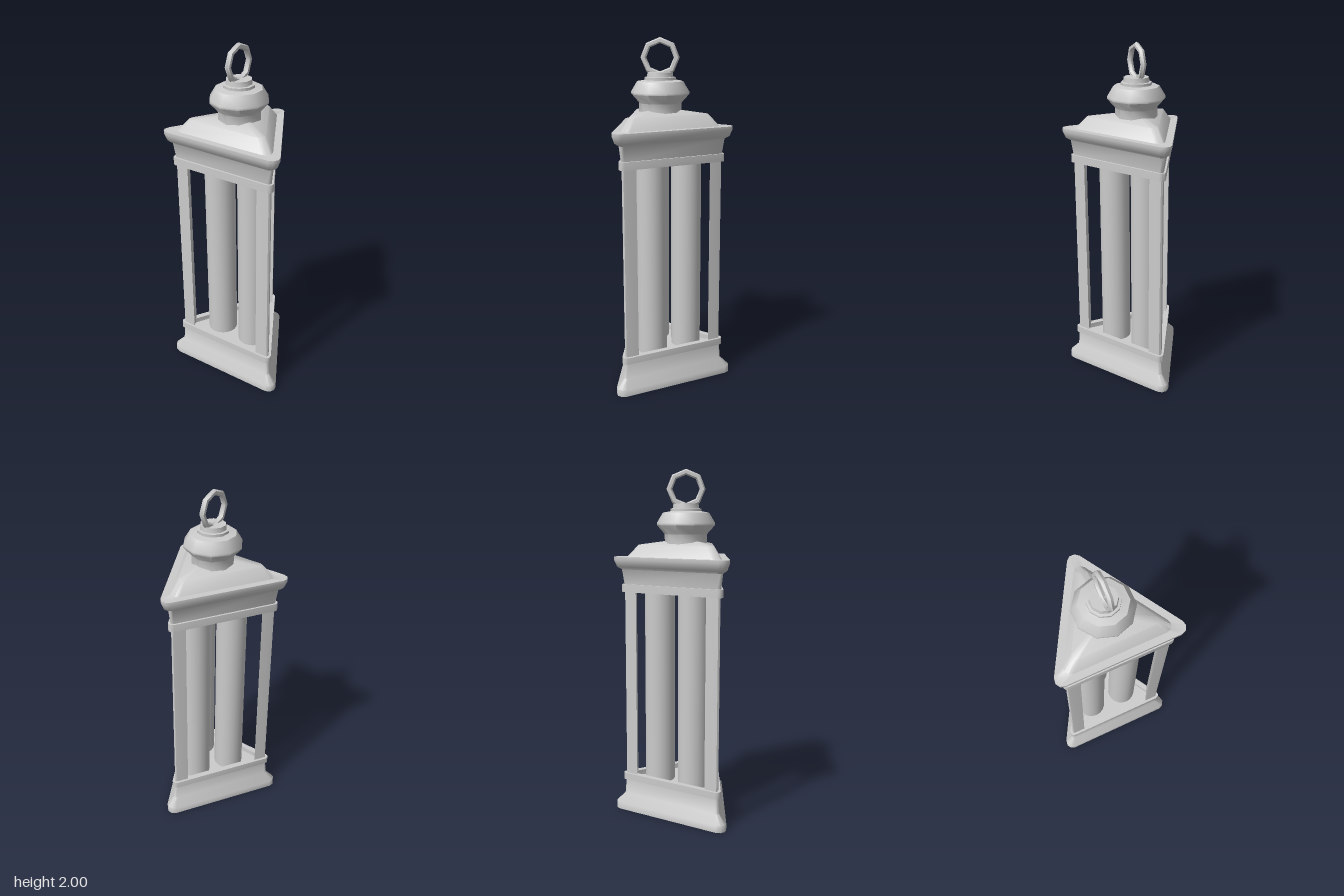
import * as THREE from 'three';
import { toCreasedNormals } from 'three/addons/utils/BufferGeometryUtils.js';

const CREASE = 0.87;
const material = new THREE.MeshStandardMaterial({ color: 0xcccccc });

function add(parent, name, geometry, x = 0, y = 0, z = 0) {
  const mesh = new THREE.Mesh(geometry, material);
  mesh.name = name;
  mesh.position.set(x, y, z);
  parent.add(mesh);
  return mesh;
}

// Rounded equilateral triangle: inradius r, corner radius c, four points per corner
function triangleRing(y, r, c) {
  const points = [];
  for (let k = 0; k < 3; k++) {
    const corner = (k * 2 * Math.PI) / 3;
    const d = 2 * (r - c);
    for (let s = 0; s < 4; s++) {
      const a = corner + ((s * 40 - 60) * Math.PI) / 180;
      points.push([
        d * Math.cos(corner) + c * Math.cos(a), y,
        -d * Math.sin(corner) - c * Math.sin(a),
      ]);
    }
  }
  return points;
}

// Skin between stacked triangular rings [y, inradius, corner radius]; inradius 0 closes an end
function triangularLoft(profile) {
  const rings = profile.map(([y, r, c]) => triangleRing(y, r, r ? c : 0));
  const pos = [];
  for (let k = 0; k < rings.length - 1; k++) {
    const a = rings[k], b = rings[k + 1];
    for (let i = 0; i < 12; i++) {
      const j = (i + 1) % 12;
      if (profile[k][1] > 0) pos.push(...a[i], ...a[j], ...b[j]);
      if (profile[k + 1][1] > 0) pos.push(...a[i], ...b[j], ...b[i]);
    }
  }
  const g = new THREE.BufferGeometry();
  g.setAttribute('position', new THREE.Float32BufferAttribute(pos, 3));
  return toCreasedNormals(g, CREASE);
}

export function createModel() {
  const model = new THREE.Group();
  model.name = 'triangularLantern';

  // Triangular body, one corner pointing to +x
  const body = new THREE.Group();
  body.name = 'body';
  body.position.set(-0.09, 0, -0.002);
  body.rotation.y = 0.02;
  model.add(body);

  // Stepped base with a sunken floor
  add(body, 'base', triangularLoft([
    [0, 0, 0], [0, 0.23, 0.042], [0.04, 0.23, 0.042], [0.09, 0.192, 0.018],
    [0.18, 0.187, 0.016], [0.18, 0.198, 0.024], [0.22, 0.198, 0.024],
    [0.22, 0.165, 0.015], [0.19, 0.165, 0.015], [0.19, 0, 0],
  ]));

  // Cornice and sloped roof with a sunken ceiling
  add(body, 'roof', triangularLoft([
    [1.34, 0, 0], [1.34, 0.165, 0.015], [1.31, 0.165, 0.015], [1.31, 0.198, 0.024],
    [1.355, 0.198, 0.024], [1.355, 0.187, 0.016], [1.44, 0.196, 0.02],
    [1.455, 0.217, 0.034], [1.495, 0.23, 0.042], [1.512, 0.23, 0.042],
    [1.512, 0.19, 0.038], [1.58, 0.15, 0.025], [1.605, 0.05, 0.012], [1.605, 0, 0],
  ]));

  // Corner posts: the clipped tips of the triangle
  const tip = [[0.29, -0.045], [0.342, -0.015], [0.354, -0.006],
    [0.354, 0.006], [0.342, 0.015], [0.29, 0.045]];
  const postShape = new THREE.Shape(tip.map(([x, y]) => new THREE.Vector2(x, y)));
  const postGeometry = toCreasedNormals(
    new THREE.ExtrudeGeometry(postShape, { depth: 1.15, bevelEnabled: false })
      .rotateX(-Math.PI / 2), CREASE);

  // Three tall candles, one toward each corner
  const candleGeometry = new THREE.CylinderGeometry(0.087, 0.087, 1.15, 20);
  for (let k = 0; k < 3; k++) {
    const a = (k * 2 * Math.PI) / 3;
    add(body, 'cornerPost', postGeometry, 0, 0.19, 0).rotation.y = a;
    add(body, 'candle', candleGeometry,
      0.024 + 0.129 * Math.cos(a), 0.765, -0.129 * Math.sin(a));
  }

  // Ten-sided finial on the roof
  const finialProfile = [
    [0, 1.585], [0.12, 1.585], [0.12, 1.64], [0.165, 1.69], [0.165, 1.702], [0.13, 1.76],
    [0.098, 1.765], [0.088, 1.767], [0.088, 1.782], [0.074, 1.784], [0.071, 1.81], [0, 1.81],
  ].map(([r, y]) => new THREE.Vector2(r, y));
  add(model, 'finial', toCreasedNormals(
    new THREE.LatheGeometry(finialProfile, 10, Math.PI / 2), CREASE), -0.085, 0, -0.01);

  // Octagonal carrying ring
  add(model, 'carryingRing', toCreasedNormals(
    new THREE.TorusGeometry(0.0935, 0.0165, 6, 8), CREASE), -0.085, 1.89, -0.012);

  return model;
}
